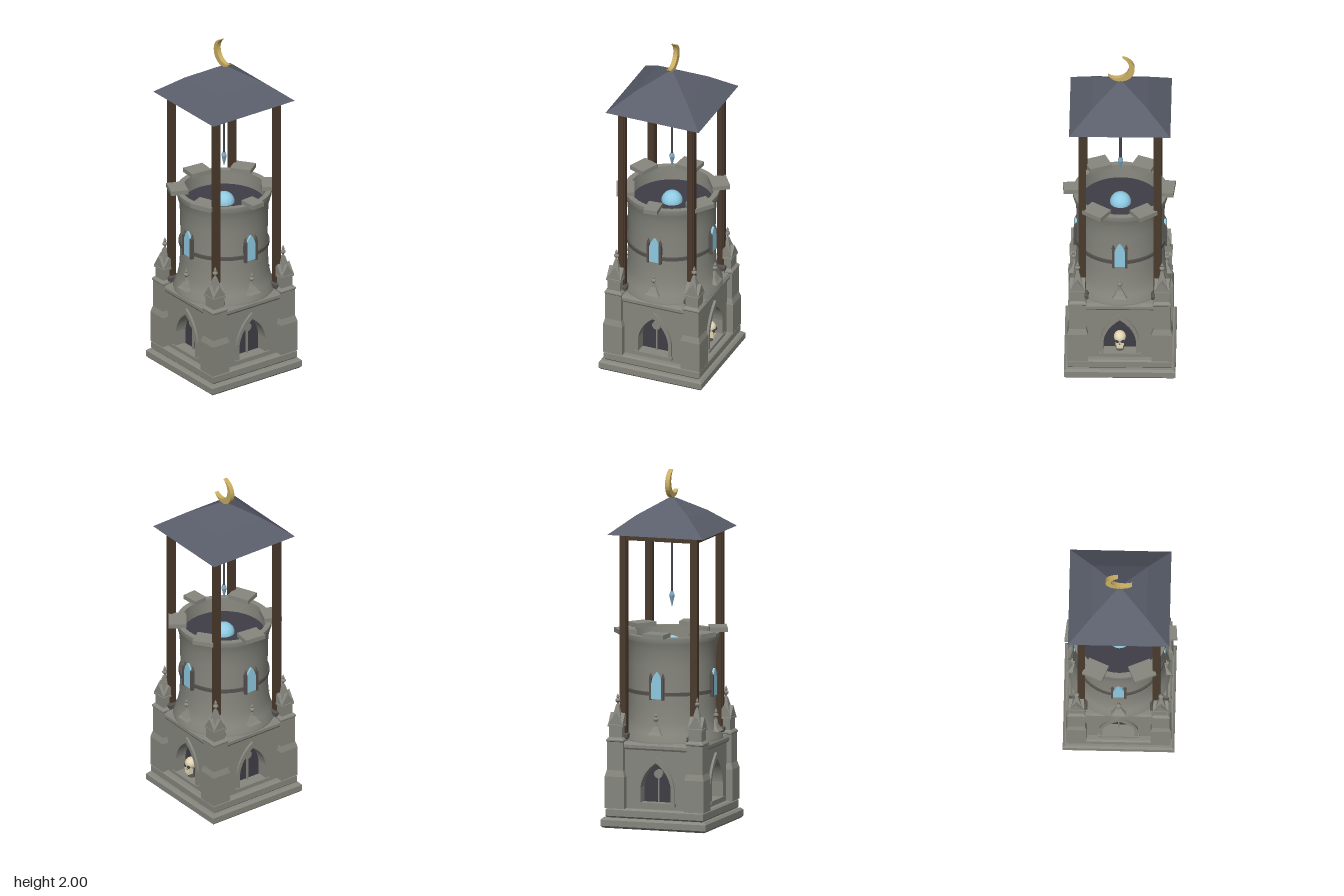
import * as THREE from 'three';
import { toCreasedNormals } from 'three/addons/utils/BufferGeometryUtils.js';

const mat = (color, opts = {}) => new THREE.MeshStandardMaterial({ color, ...opts });
const flat = { flatShading: true };
const STONE = mat(0x87877f, flat);
const STONE_SMOOTH = mat(0x87877f);
const DARK = mat(0x3f3e46, flat);
const TRIM = mat(0x56524f, flat);
const WOOD = mat(0x4a3a2c, flat);
const SLATE = mat(0x5a5e6b, flat);
const GLASS = mat(0x8fcbe3, flat);
const STEEL = mat(0x45464d, flat);
const BLADE = mat(0x7fa6bd, flat);
const GOLD = mat(0xcaae62);
const BONE = mat(0xe2d6b4);

const v2 = (pts) => pts.map(([x, y]) => new THREE.Vector2(x, y));

function add(parent, name, geometry, material, x = 0, y = 0, z = 0) {
  const mesh = new THREE.Mesh(geometry, material);
  mesh.name = name;
  mesh.position.set(x, y, z);
  parent.add(mesh);
  return mesh;
}

// Square solid from a profile of [half width, height], bottom to top
const square = (pts) =>
  new THREE.LatheGeometry(v2(pts.map(([r, y]) => [r * Math.SQRT2, y])), 4, Math.PI / 4);

// Square slab with chamfered edges
const slab = (h, y0, y1, c) =>
  square([[0, y0], [h - c, y0], [h, y0 + c], [h, y1 - c], [h - c, y1], [0, y1]]);

// Pointed arch outline
function arch(path, w, y0, spring, apex) {
  const k = spring + (apex - spring) * 0.6;
  path.moveTo(-w, y0);
  path.lineTo(w, y0);
  path.lineTo(w, spring);
  path.quadraticCurveTo(w * 0.88, k, 0, apex);
  path.quadraticCurveTo(-w * 0.88, k, -w, spring);
  path.lineTo(-w, y0);
  return path;
}

const extrude = (shape, depth, bevel = 0) => new THREE.ExtrudeGeometry(shape, {
  depth, curveSegments: 10, bevelEnabled: bevel > 0, bevelSize: bevel, bevelThickness: bevel, bevelSegments: 1,
});

// Repeats a part on the four sides
function fourSides(parent, name, build) {
  for (let i = 0; i < 4; i++) {
    const g = new THREE.Group();
    g.name = name;
    g.rotation.y = i * Math.PI / 2;
    build(g, i);
    parent.add(g);
  }
}

// Small stone finial: stem, bud and tip
function finial(parent, x, y, z, s = 1) {
  const pts = [[0.011, 0], [0.006, 0.02], [0.006, 0.027], [0.015, 0.036], [0.015, 0.044],
    [0.006, 0.052], [0.009, 0.06], [0, 0.08]];
  add(parent, 'finial', new THREE.LatheGeometry(v2(pts.map(([r, h]) => [r * s, h * s])), 8), STONE, x, y, z);
}

// Skull seen in the back niche
function skull() {
  const g = new THREE.Group();
  g.name = 'skull';
  add(g, 'cranium', new THREE.SphereGeometry(0.036, 20, 14), BONE, 0, 0.02, 0).scale.set(0.95, 0.95, 1.05);
  add(g, 'cheeks', new THREE.BoxGeometry(0.046, 0.03, 0.03), BONE, 0, -0.006, 0.016);
  add(g, 'jaw', new THREE.BoxGeometry(0.034, 0.018, 0.03), BONE, 0, -0.034, 0.016);
  for (const s of [-1, 1]) {
    add(g, 'eyeSocket', new THREE.SphereGeometry(0.0105, 12, 8), DARK, s * 0.014, 0.008, 0.03);
  }
  add(g, 'nose', new THREE.ConeGeometry(0.006, 0.012, 4), DARK, 0, -0.008, 0.03);
  return g;
}

function buildBase(root) {
  add(root, 'lowerPlinth', slab(0.312, 0, 0.058, 0.012), STONE);
  add(root, 'upperPlinth', slab(0.291, 0.058, 0.112, 0.009), STONE);
  add(root, 'innerChamber', new THREE.BoxGeometry(0.38, 0.36, 0.38), DARK, 0, 0.29, 0);
  add(root, 'cornice', square([[0, 0.445], [0.266, 0.445], [0.272, 0.455], [0.272, 0.472], [0.262, 0.488], [0, 0.488]]), STONE);

  fourSides(root, 'wallSide', (g, i) => {
    const wall = new THREE.Shape(v2([[-0.205, 0.11], [0.205, 0.11], [0.205, 0.46], [-0.205, 0.46]]));
    wall.holes.push(arch(new THREE.Path(), 0.09, 0.145, 0.235, 0.375));
    add(g, 'wall', extrude(wall, 0.055), STONE, 0, 0, 0.2);
    // Moulding around the opening
    const frame = arch(new THREE.Shape(), 0.108, 0.145, 0.24, 0.412);
    frame.holes.push(arch(new THREE.Path(), 0.09, 0.146, 0.235, 0.375));
    add(g, 'archMoulding', extrude(frame, 0.014), STONE, 0, 0, 0.255);
    add(g, 'sill', new THREE.BoxGeometry(0.23, 0.018, 0.06), STONE, 0, 0.14, 0.245);
    if (i === 2) {
      const s = skull();
      s.position.set(0, 0.215, 0.228);
      g.add(s);
      add(g, 'skullStand', new THREE.CylinderGeometry(0.016, 0.024, 0.03, 8), TRIM, 0, 0.16, 0.225);
    } else {
      add(g, 'mullion', new THREE.BoxGeometry(0.008, 0.17, 0.012), STONE, 0, 0.225, 0.215);
      const disc = add(g, 'mullionDisc', new THREE.CylinderGeometry(0.025, 0.025, 0.02, 20), STONE, 0, 0.308, 0.215);
      disc.rotation.x = Math.PI / 2;
    }
    // Gablet against the foot of the tower
    add(g, 'gablet', square([[0.042, 0.535], [0.03, 0.55], [0.006, 0.595], [0, 0.6]]), STONE, 0, 0, 0.25);
    finial(g, 0, 0.583, 0.262);
  });

  // Stepped corner buttress with a gabled pinnacle
  fourSides(root, 'cornerButtress', (g) => {
    const c = 0.236;
    add(g, 'buttress', square([[0, 0.11], [0.058, 0.11], [0.058, 0.29], [0.048, 0.325],
      [0.048, 0.485], [0.052, 0.49], [0.052, 0.497], [0.04, 0.51], [0, 0.51]]), STONE, c, 0, c);
    add(g, 'pinnacle', square([[0.038, 0.5], [0.038, 0.585], [0.03, 0.6], [0.008, 0.69], [0, 0.69]]), STONE, c, 0, c);
    const gable = new THREE.Shape(v2([[-0.045, 0.57], [0.045, 0.57], [0.045, 0.58], [0, 0.645], [-0.045, 0.58]]));
    for (let k = 0; k < 2; k++) {
      const turn = new THREE.Group();
      turn.name = 'gable';
      turn.position.set(c, 0, c);
      turn.rotation.y = k * Math.PI / 2;
      add(turn, 'gableRoof', extrude(gable, 0.086), STONE, 0, 0, -0.043);
      g.add(turn);
    }
    finial(g, c, 0.675, c);
  });
}

function buildTower(root) {
  // Round tower, flared at foot and rim, hollow at the top
  const profile = [[0.285, 0.486], [0.284, 0.5], [0.264, 0.54], [0.251, 0.6], [0.246, 0.68], [0.244, 0.8],
    [0.245, 0.92], [0.25, 1.0], [0.262, 1.045], [0.267, 1.06], [0.267, 1.083], [0.236, 1.083], [0.23, 0.99]];
  add(root, 'tower', toCreasedNormals(new THREE.LatheGeometry(v2(profile), 48), 0.6), STONE_SMOOTH);
  add(root, 'towerFloor', new THREE.CylinderGeometry(0.234, 0.234, 0.02, 48), DARK, 0, 0.99, 0);
  add(root, 'glowingDome', new THREE.SphereGeometry(0.06, 20, 8, 0, Math.PI * 2, 0, Math.PI / 2), GLASS, 0, 1.0, 0);
  const belt = [[0.24, 0.752], [0.254, 0.752], [0.254, 0.772], [0.24, 0.772]];
  add(root, 'belt', new THREE.LatheGeometry(v2(belt), 48), TRIM);

  fourSides(root, 'towerWindow', (g) => {
    add(g, 'glass', extrude(arch(new THREE.Shape(), 0.031, 0.735, 0.82, 0.888), 0.03), GLASS, 0, 0, 0.226);
    for (const s of [-1, 1]) {
      add(g, 'jamb', new THREE.BoxGeometry(0.013, 0.125, 0.035), TRIM, s * 0.037, 0.792, 0.243);
      add(g, 'jambTip', new THREE.ConeGeometry(0.012, 0.03, 4), TRIM, s * 0.036, 0.869, 0.247);
    }
  });

  // Loose merlon slabs: [angle in degrees, width, radius, twist]
  const slabs = [[0, 0.08, 0.27, 0.08], [60, 0.13, 0.262, -0.12], [120, 0.12, 0.262, 0.12],
    [180, 0.125, 0.252, -0.1], [240, 0.12, 0.265, 0.1], [300, 0.13, 0.262, -0.1]];
  for (const [deg, width, radius, twist] of slabs) {
    const a = deg * Math.PI / 180;
    const m = add(root, 'merlon', new THREE.BoxGeometry(0.1, 0.026, width), STONE,
      Math.cos(a) * radius, 1.094, Math.sin(a) * radius);
    m.rotation.y = -a + twist;
  }
}

function buildCanopy(root) {
  // Posts and top beams
  fourSides(root, 'canopyFrame', (g) => {
    const p = 0.21;
    add(g, 'post', new THREE.BoxGeometry(0.042, 1.15, 0.03), WOOD, p, 1.075, p);
    add(g, 'postCore', new THREE.BoxGeometry(0.03, 1.15, 0.042), WOOD, p, 1.075, p);
    add(g, 'postFoot', slab(0.036, 0.498, 0.53, 0.006), TRIM, p, 0, p);
    add(g, 'beam', new THREE.BoxGeometry(0.42, 0.033, 0.034), WOOD, 0, 1.637, p);
  });
  add(root, 'ceiling', new THREE.BoxGeometry(0.54, 0.008, 0.54), WOOD, 0, 1.655, 0);
  add(root, 'roof', square([[0.268, 1.653], [0.283, 1.653], [0.155, 1.754], [0.016, 1.838], [0, 1.838]]), SLATE);

  // Hanging spear
  add(root, 'spearRod', new THREE.CylinderGeometry(0.007, 0.007, 0.36, 8), STEEL, 0, 1.475, 0);
  add(root, 'spearTip', new THREE.LatheGeometry(v2([[0, 1.22], [0.017, 1.288], [0.007, 1.31]]), 6), BLADE);

  // Crescent finial
  const R = 0.079, r = 0.0735, half = 68 * Math.PI / 180;
  const d = R * Math.cos(half);
  const b = Math.asin(Math.min(1, R * Math.sin(half) / r));
  const moon = new THREE.Shape();
  moon.absarc(0, 0, R, half, Math.PI * 2 - half, false);
  moon.absarc(d, 0, r, Math.PI * 2 - b, b, true);
  const geo = new THREE.ExtrudeGeometry(moon, { depth: 0.026, bevelEnabled: false, curveSegments: 32 });
  const crescent = add(root, 'crescent', toCreasedNormals(geo, 0.6), GOLD, 0, 1.921, -0.013);
  crescent.rotation.z = 33 * Math.PI / 180;
  add(root, 'crescentBase', new THREE.CylinderGeometry(0.012, 0.016, 0.014, 8), SLATE, 0, 1.842, 0);
}

export function createModel() {
  const model = new THREE.Group();
  model.name = 'watchtower';
  const root = new THREE.Group();
  root.name = 'towerParts';
  root.position.set(-0.006, 0, -0.001);
  model.add(root);
  buildBase(root);
  buildTower(root);
  buildCanopy(root);
  return model;
}
